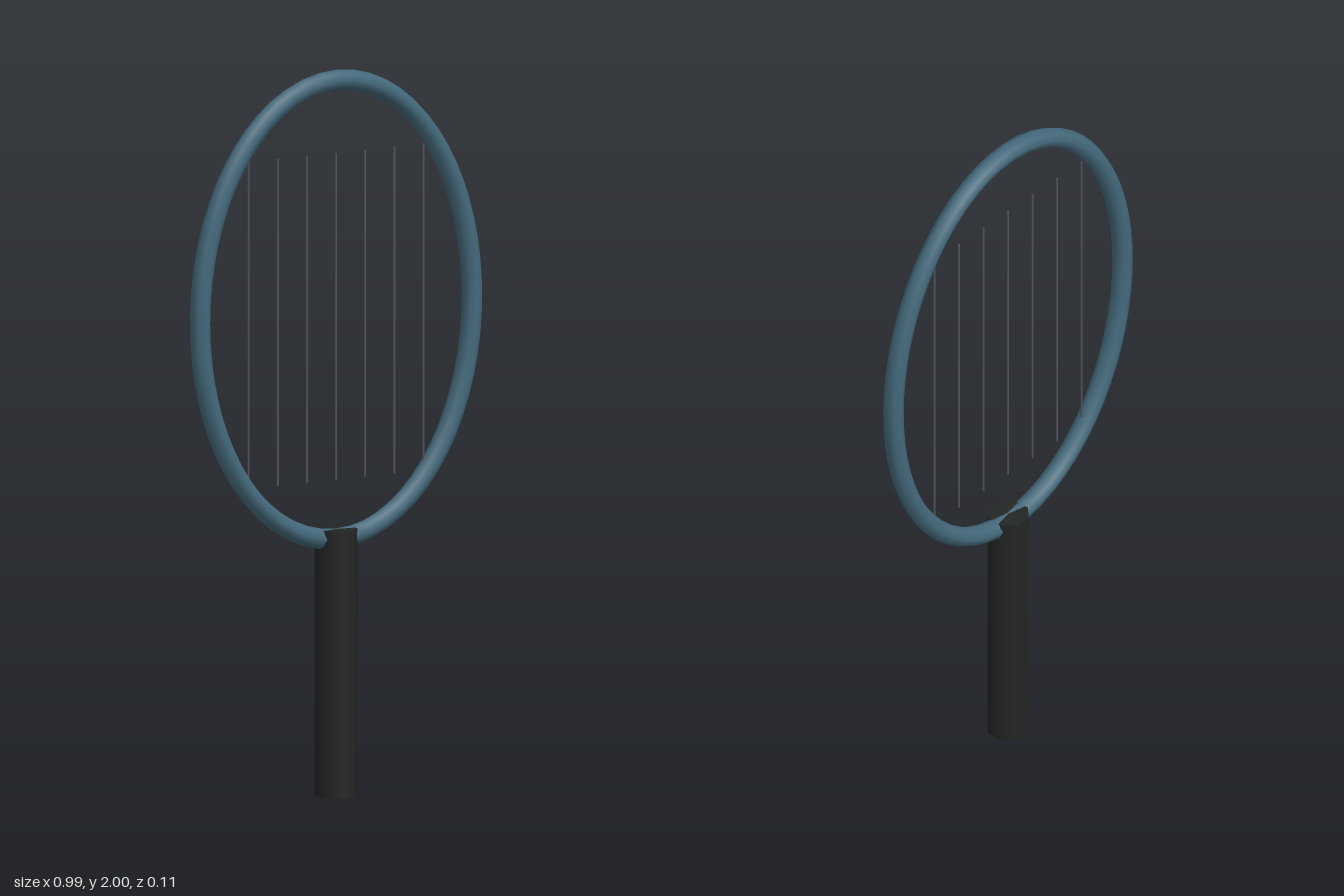
import * as THREE from 'three';

// Closed upright ellipse for the frame's centre line
class OvalCurve extends THREE.Curve {
  constructor(rx, ry, cy) {
    super();
    Object.assign(this, { rx, ry, cy });
  }
  getPoint(t, target = new THREE.Vector3()) {
    const a = t * Math.PI * 2;
    return target.set(this.rx * Math.cos(a), this.cy + this.ry * Math.sin(a), 0);
  }
}

export function createModel() {
  const model = new THREE.Group();
  model.name = 'racket';

  const frameMaterial = new THREE.MeshStandardMaterial({ color: 0x44697b });
  const gripMaterial = new THREE.MeshStandardMaterial({ color: 0x222624 });
  const stringMaterial = new THREE.MeshStandardMaterial({ color: 0x555560 });

  function add(parent, name, geometry, material, x = 0, y = 0) {
    const mesh = new THREE.Mesh(geometry, material);
    mesh.name = name;
    mesh.position.set(x, y, 0);
    parent.add(mesh);
    return mesh;
  }

  // Oval frame, passing through the top of the handle
  const oval = new OvalCurve(0.467, 0.632, 1.34);
  add(model, 'frame', new THREE.TubeGeometry(oval, 64, 0.028, 8, true), frameMaterial);

  // Eight-sided handle with flats facing front and sides
  const handleHeight = 0.735;
  const handleGeometry = new THREE.CylinderGeometry(0.06, 0.06, handleHeight, 8);
  handleGeometry.rotateY(Math.PI / 8);
  add(model, 'handle', handleGeometry, gripMaterial, 0, handleHeight / 2);

  // Seven upright strings
  const strings = new THREE.Group();
  strings.name = 'strings';
  model.add(strings);
  const stringGeometry = new THREE.CylinderGeometry(0.003, 0.003, 0.9, 6);
  for (let i = -3; i <= 3; i++) {
    add(strings, `string${i + 4}`, stringGeometry, stringMaterial, i * 0.1, 1.32);
  }

  return model;
}
